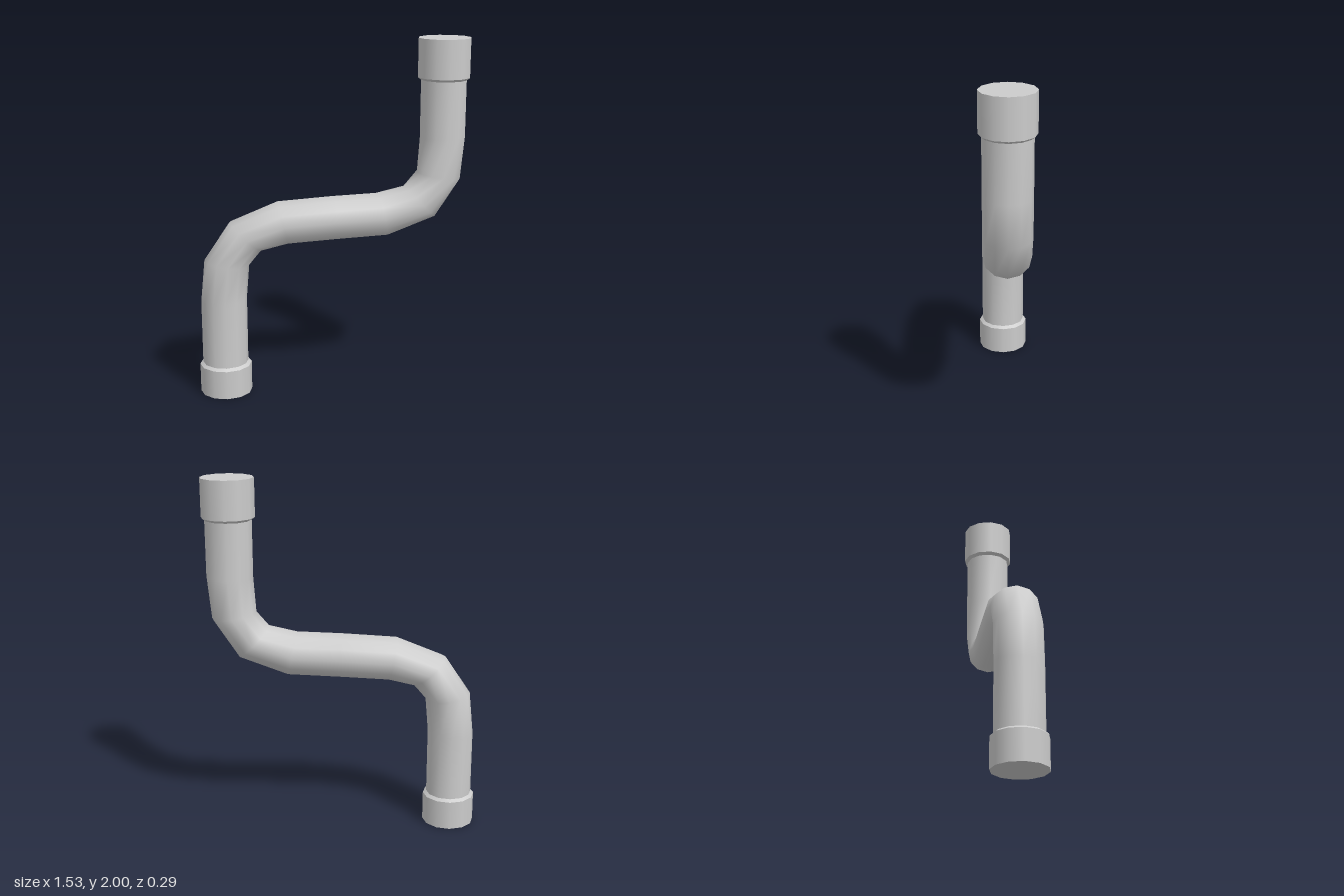
import * as THREE from 'three';

const SIDES = 12;
const PIPE_R = 0.129;
const COLLAR_R = 0.147;

// Pipe skin: each ring is given by its two edge points [x, y] in the bend plane
function sweepPipe(rings) {
  const positions = [], indices = [];
  for (const [ax, ay, bx, by] of rings) {
    for (let i = 0; i < SIDES; i++) {
      const a = (i / SIDES) * Math.PI * 2;
      const t = (1 - Math.cos(a)) / 2; // 0 on the first edge, 1 on the second
      positions.push(ax + (bx - ax) * t, ay + (by - ay) * t, PIPE_R * Math.sin(a));
    }
  }
  for (let r = 0; r < rings.length - 1; r++) {
    for (let i = 0; i < SIDES; i++) {
      const a = r * SIDES + i, b = r * SIDES + (i + 1) % SIDES;
      const c = a + SIDES, d = b + SIDES;
      indices.push(a, b, d, a, d, c);
    }
  }
  const geometry = new THREE.BufferGeometry();
  geometry.setAttribute('position', new THREE.Float32BufferAttribute(positions, 3));
  geometry.setIndex(indices);
  geometry.computeVertexNormals();
  return geometry;
}

// Closed end collar with a small chamfer towards the pipe; doubled points keep edges sharp
function collarGeometry(height) {
  const profile = [
    [0, 0], [COLLAR_R, 0], [COLLAR_R, 0],
    [COLLAR_R, height], [COLLAR_R, height],
    [PIPE_R, height + 0.014],
  ].map(([r, y]) => new THREE.Vector2(r, y));
  return new THREE.LatheGeometry(profile, SIDES);
}

export function createModel() {
  const model = new THREE.Group();
  model.name = 'bentPipe';
  const material = new THREE.MeshStandardMaterial({ color: 0xcccccc });

  const add = (name, geometry) => {
    const mesh = new THREE.Mesh(geometry, material);
    mesh.name = name;
    model.add(mesh);
    return mesh;
  };

  // S-bend pipe, from the lower end to the upper end
  add('pipe', sweepPipe([
    [-0.75, 0.1, -0.492, 0.1],
    [-0.75, 0.54, -0.492, 0.56],
    [-0.725, 0.785, -0.475, 0.75],
    [-0.58, 1.0, -0.402, 0.835],
    [-0.31, 1.11, -0.26, 0.865],
    [0, 1.13, 0, 0.88],
    [0.25, 1.14, 0.305, 0.895],
    [0.402, 1.172, 0.58, 1.0],
    [0.475, 1.255, 0.723, 1.22],
    [0.488, 1.45, 0.746, 1.46],
    [0.488, 1.9, 0.746, 1.9],
  ]));

  // End collars; the upper one is turned over
  add('lowerCollar', collarGeometry(0.165)).position.set(-0.62, 0, 0);
  const upper = add('upperCollar', collarGeometry(0.215));
  upper.position.set(0.617, 2, 0);
  upper.rotation.z = Math.PI;

  return model;
}
